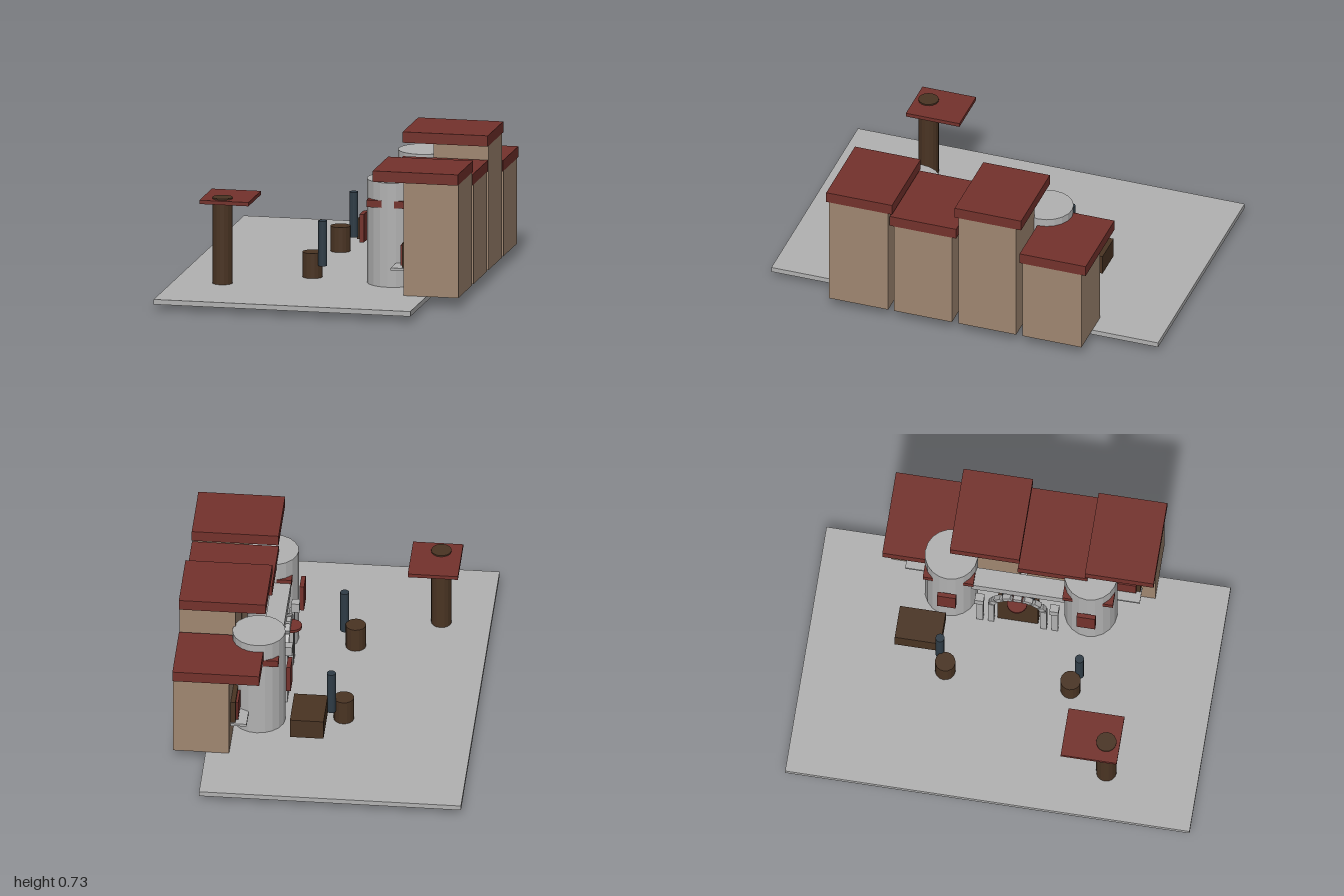
import * as THREE from 'three';

export function createModel() {
  const root = new THREE.Group();
  root.name = 'townGate';
  const mat = (name, color) => {
    const m = new THREE.MeshStandardMaterial({ color, flatShading: true });
    m.name = name;
    return m;
  };
  const stone = mat('stone', 0xb2b2b2);
  const plaster = mat('plaster', 0xa08771);
  const red = mat('redTile', 0x74322c);
  const wood = mat('darkWood', 0x4a3423);
  const iron = mat('iron', 0x2f3c46);

  const add = (name, geo, material, x, y, z) => {
    const mesh = new THREE.Mesh(geo, material);
    mesh.name = name;
    mesh.position.set(x, y, z);
    root.add(mesh);
    return mesh;
  };
  // Box given by its limits on each axis
  const box = (name, m, x0, x1, y0, y1, z0, z1) =>
    add(name, new THREE.BoxGeometry(x1 - x0, y1 - y0, z1 - z0), m,
      (x0 + x1) / 2, (y0 + y1) / 2, (z0 + z1) / 2);
  const cyl = (name, m, r, y0, y1, x, z, sides = 16) =>
    add(name, new THREE.CylinderGeometry(r, r, y1 - y0, sides), m, x, (y0 + y1) / 2, z);

  const ground = 0.055;
  box('groundSlab', stone, -0.725, 0.56, 0.03, ground, -1, 1);

  // Row of houses: wall z limits, wall height, roof z limits
  const houses = [
    [0.34, 0.645, 0.62, 0.32, 0.66],
    [0.01, 0.31, 0.553, -0.012, 0.332],
    [-0.322, -0.024, 0.676, -0.348, -0.004],
    [-0.66, -0.355, 0.482, -0.682, -0.34],
  ];
  for (const [z0, z1, h, r0, r1] of houses) {
    box('houseWall', plaster, 0.445, 0.72, ground, h, z0, z1);
    box('houseRoof', red, 0.295, 0.721, h, h + 0.054, r0, r1);
  }

  for (const s of [1, -1]) {
    // Gate tower with four hoods and a hanging banner
    const tz = s * 0.345;
    cyl('tower', stone, 0.13, 0, 0.575, 0.328, tz, 20);
    for (const [x0, x1] of [[0.222, 0.306], [0.35, 0.434]])
      for (const e of [1, -1])
        box('towerHood', red, x0, x1, 0.45, 0.485, tz + e * 0.1 - 0.025, tz + e * 0.1 + 0.025);
    box('banner', red, 0.168, 0.19, 0.255, 0.395, tz - 0.046, tz + 0.046);

    // House door, panel and step
    const dz = s * 0.5;
    box('doorFrame', wood, 0.422, 0.446, 0.18, 0.3, dz - 0.075, dz + 0.075);
    box('doorPanel', red, 0.41, 0.423, 0.185, 0.285, dz - 0.055, dz + 0.055);
    box('doorStep', stone, 0.367, 0.446, 0.163, 0.176, dz - 0.08, dz + 0.08);

    // Gate post and its capital
    const pz = s * 0.185;
    box('gatePost', stone, 0.203, 0.228, ground, 0.34, pz - 0.016, pz + 0.016);
    box('gateCapital', stone, 0.178, 0.218, 0.335, 0.385, pz - 0.022, pz + 0.022);

    // Barrel with an iron bar beside it
    cyl('barrel', wood, 0.05, ground, 0.18, -0.085, s * 0.31);
    cyl('ironBar', iron, 0.022, 0.12, 0.345, -0.027, s * 0.345);
  }

  // Bridge between the towers
  box('bridge', stone, 0.225, 0.32, 0.41, 0.465, -0.23, 0.23);

  // Arch of stone blocks
  const blocks = 9;
  for (let i = 0; i < blocks; i++) {
    const a = (i / (blocks - 1)) * Math.PI;
    const b = add('archBlock', new THREE.BoxGeometry(0.026, 0.03, 0.042), stone,
      0.216, 0.265 + Math.sin(a) * 0.13, Math.cos(a) * 0.13);
    b.rotation.x = Math.PI / 2 - a + Math.PI;
  }
  for (const s of [1, -1])
    box('archLeg', stone, 0.203, 0.229, ground, 0.265, s * 0.13 - 0.015, s * 0.13 + 0.015);

  // Gate door, iron backing and round canopy
  box('gateDoor', wood, 0.225, 0.265, ground, 0.345, -0.1, 0.1);
  box('gateBacking', iron, 0.235, 0.255, 0.34, 0.41, -0.08, 0.08);
  cyl('gateCanopy', red, 0.05, 0.362, 0.376, 0.2, 0, 20);

  // Crate
  box('crate', wood, -0.01, 0.155, 0.11, 0.21, -0.572, -0.345);

  // Sign post with a flat board
  cyl('signPost', wood, 0.05, ground, 0.484, -0.482, 0.55);
  box('signBoard', red, -0.583, -0.337, 0.458, 0.477, 0.34, 0.617);

  return root;
}
